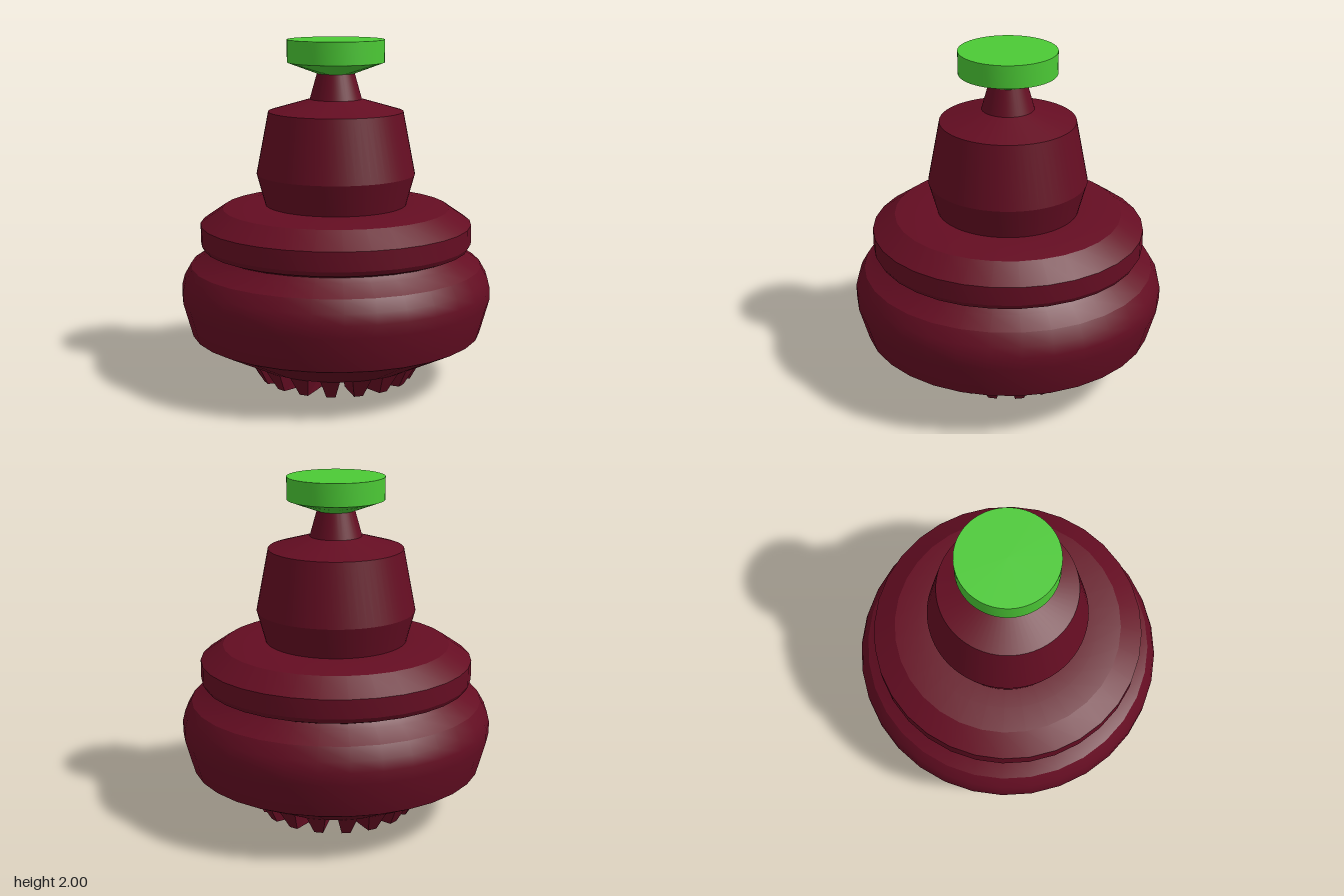
import * as THREE from 'three';
import { toCreasedNormals } from 'three/addons/utils/BufferGeometryUtils.js';

const maroon = new THREE.MeshStandardMaterial({ color: 0x640d22 });
maroon.name = 'dark maroon';
const green = new THREE.MeshStandardMaterial({ color: 0x4bc935 });
green.name = 'bright green';

// Turned part from [radius, y] pairs running bottom to top, with sharp creases
function turned(name, profile, segments, material) {
  const points = profile.map(([r, y]) => new THREE.Vector2(r, y));
  const geometry = toCreasedNormals(new THREE.LatheGeometry(points, segments), 0.44);
  const mesh = new THREE.Mesh(geometry, material);
  mesh.name = name;
  return mesh;
}

// Tapered bevel-gear tooth pointing out along +z: a box with its corners moved
function toothGeometry() {
  const box = new THREE.BoxGeometry(1, 1, 1);
  const p = box.attributes.position;
  for (let i = 0; i < p.count; i++) {
    const side = Math.sign(p.getX(i));
    const root = p.getY(i) > 0;
    const outer = p.getZ(i) > 0;
    const halfWidth = outer ? (root ? 0.056 : 0.026) : (root ? 0.027 : 0.013);
    const y = outer ? (root ? 0.135 : 0.018) : (root ? 0.1 : 0);
    const z = outer ? (root ? 0.52 : 0.455) : (root ? 0.25 : 0.22);
    p.setXYZ(i, side * halfWidth, y, z);
  }
  const flat = box.toNonIndexed();
  flat.computeVertexNormals();
  return flat;
}

export function createModel() {
  const model = new THREE.Group();
  model.name = 'turnedToy';

  // Wide bowl with rounded shoulder
  model.add(turned('bowl', [
    [0.24, 0.105], [0.52, 0.13], [0.85, 0.3], [0.905, 0.5], [0.905, 0.57],
    [0.89, 0.63], [0.85, 0.7], [0.76, 0.757], [0.73, 0.785],
  ], 32, maroon));

  // Collar above the groove
  model.add(turned('collar', [
    [0.73, 0.785], [0.775, 0.803], [0.79, 0.83], [0.79, 0.94],
    [0.66, 1.03], [0.52, 1.05], [0.4, 1.05],
  ], 32, maroon));

  // Tapered upper body and neck
  model.add(turned('upperBody', [
    [0.41, 1.045], [0.46, 1.23], [0.39, 1.59], [0.15, 1.66], [0.105, 1.82],
  ], 64, maroon));

  // Push knob
  model.add(turned('knob', [
    [0, 1.805], [0.105, 1.805], [0.28, 1.87], [0.28, 2], [0, 2],
  ], 64, green));

  // Hub with a centre bore under the bowl
  model.add(turned('gearHub', [
    [0, 0.1], [0.085, 0.1], [0.085, 0.04], [0.11, 0.04], [0.24, 0.075], [0.25, 0.11],
  ].map(([r, y]) => [r, y]), 32, maroon));

  // Ring of bevel-gear teeth
  const gear = new THREE.Group();
  gear.name = 'gearTeeth';
  const tooth = toothGeometry();
  const count = 18;
  for (let i = 0; i < count; i++) {
    const mesh = new THREE.Mesh(tooth, maroon);
    mesh.name = 'gearTooth';
    mesh.rotation.y = Math.PI / 4 + (i / count) * Math.PI * 2;
    gear.add(mesh);
  }
  model.add(gear);

  return model;
}
